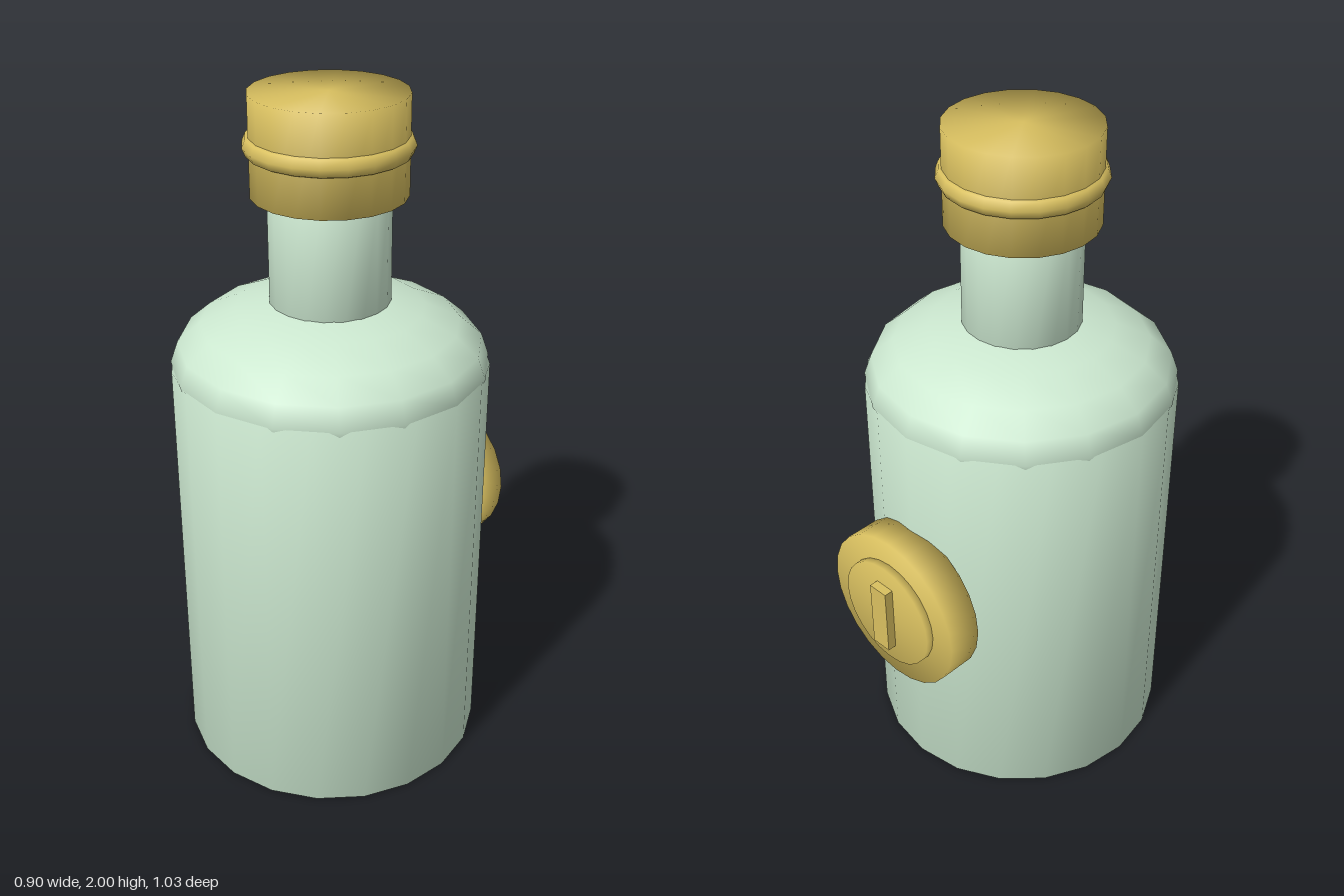
import * as THREE from 'three';
import { mergeVertices } from 'three/addons/utils/BufferGeometryUtils.js';

const glass = new THREE.MeshStandardMaterial({ color: 0xcce8d0 });
const gold = new THREE.MeshStandardMaterial({ color: 0xd9c060 });

// Cylinder between two heights, shaded smoothly across its rims
function softCylinder(radius, from, to, segments = 20) {
  const raw = new THREE.CylinderGeometry(radius, radius, to - from, segments);
  raw.deleteAttribute('uv');
  raw.deleteAttribute('normal');
  const geometry = mergeVertices(raw, 1e-4);
  geometry.translate(0, (from + to) / 2, 0);
  geometry.computeVertexNormals();
  return geometry;
}

function part(parent, name, geometry, material) {
  const mesh = new THREE.Mesh(geometry, material);
  mesh.name = name;
  parent.add(mesh);
  return mesh;
}

export function createModel() {
  const model = new THREE.Group();
  model.name = 'bottle';

  // Bottle: body, flattened spherical shoulder and neck
  const bottle = new THREE.Group();
  bottle.name = 'glassBottle';
  bottle.position.z = 0.065;
  model.add(bottle);
  part(bottle, 'body', softCylinder(0.45, 0, 1.24), glass);
  const shoulder = part(bottle, 'shoulder', new THREE.SphereGeometry(0.45, 16, 10), glass);
  shoulder.scale.y = 0.2 / 0.45;
  shoulder.position.y = 1.24;
  part(bottle, 'neck', softCylinder(0.17, 1.36, 1.76), glass);

  // Stopper with a raised ring
  part(bottle, 'stopper', softCylinder(0.215, 1.725, 2), gold);
  const ring = part(bottle, 'stopperRing', new THREE.TorusGeometry(0.2, 0.032, 8, 20), gold);
  ring.rotation.x = Math.PI / 2;
  ring.position.y = 1.862;

  // Round seal on the back; its local y points backwards
  const seal = new THREE.Group();
  seal.name = 'seal';
  seal.rotation.x = -Math.PI / 2;
  seal.position.y = 0.669;
  model.add(seal);
  part(seal, 'sealDisc', softCylinder(0.246, 0.365, 0.47, 24), gold);
  part(seal, 'sealPlate', softCylinder(0.17, 0.455, 0.493, 24), gold);
  const bar = part(seal, 'sealBar', new THREE.BoxGeometry(0.063, 0.04, 0.215), gold);
  bar.position.y = 0.5;

  return model;
}
